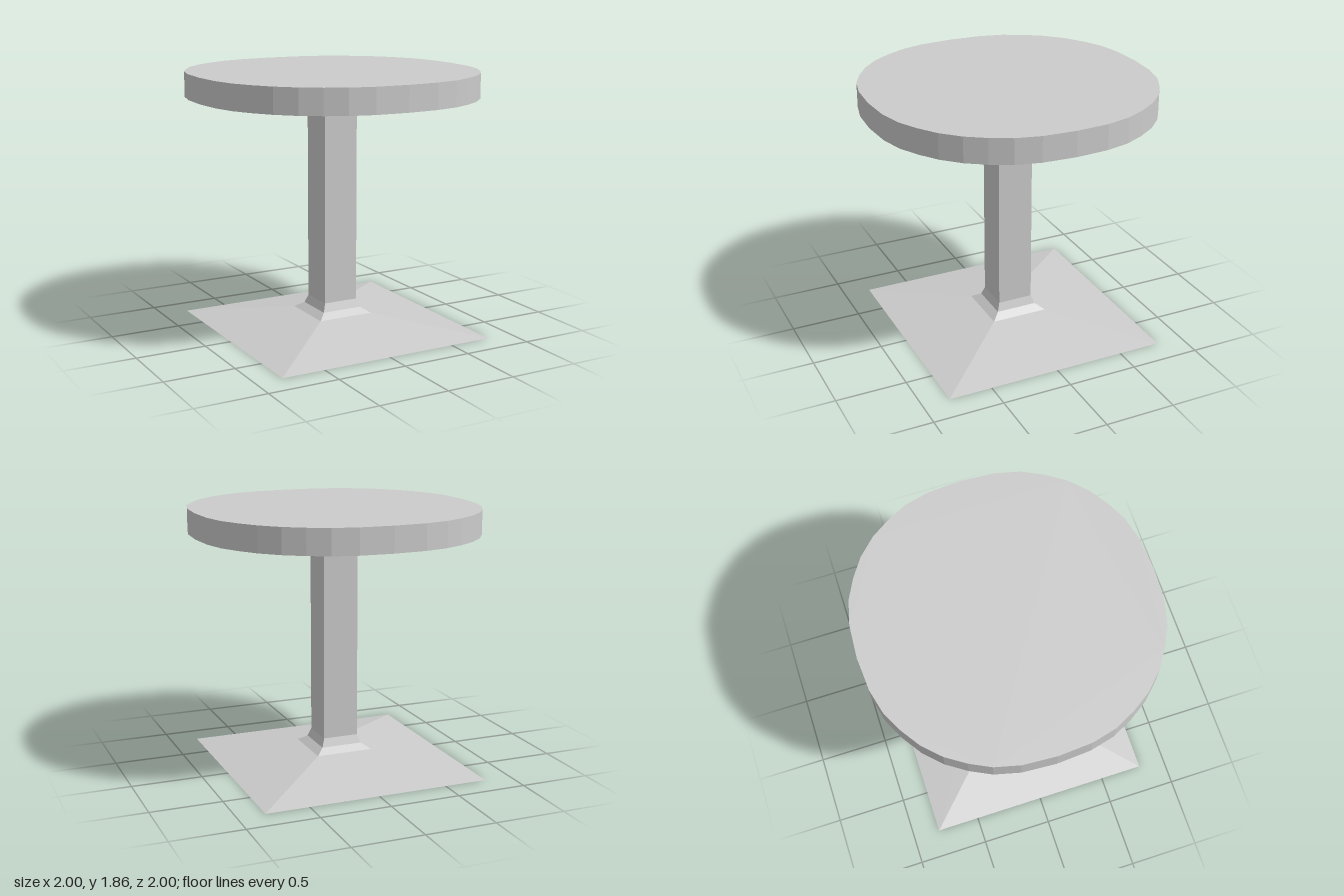
import * as THREE from 'three';

const material = new THREE.MeshStandardMaterial({ color: 0xcccccc, flatShading: true });

function part(name, geometry) {
  const mesh = new THREE.Mesh(geometry, material);
  mesh.name = name;
  return mesh;
}

// Square cross-sections stacked along y, given as [half width, y] from bottom to top
function squareLoft(sections) {
  const profile = sections.map(([h, y]) => new THREE.Vector2(h * Math.SQRT2, y));
  return new THREE.LatheGeometry(profile, 4, Math.PI / 4);
}

// Slightly squared circle: one eighth of the outline, mirrored to a quadrant, turned four times
function tabletopShape() {
  const eighth = [[0, 1], [0.23, 0.985], [0.4, 0.943], [0.54, 0.873], [0.67, 0.786]];
  const quadrant = [...eighth, ...eighth.slice(1).reverse().map(([x, y]) => [y, x])];
  const points = [];
  for (let i = 0; i < 4; i++) {
    const turn = -i * Math.PI / 2;
    for (const [x, y] of quadrant) {
      points.push(new THREE.Vector2(x, y).rotateAround(new THREE.Vector2(), turn));
    }
  }
  return new THREE.Shape(points);
}

export function createModel() {
  const table = new THREE.Group();
  table.name = 'pedestalTable';

  // Shallow pyramid foot with a stepped collar
  table.add(part('base', squareLoft([[0, 0], [0.808, 0], [0.205, 0.112], [0.148, 0.15], [0.127, 0.21]])));

  // Square column
  table.add(part('column', squareLoft([[0.127, 0.21], [0.127, 1.68]])));

  // Thick round slab
  const slab = new THREE.ExtrudeGeometry(tabletopShape(), { depth: 0.176, bevelEnabled: false });
  slab.rotateX(-Math.PI / 2).translate(0, 1.68, 0);
  table.add(part('tabletop', slab));

  return table;
}
